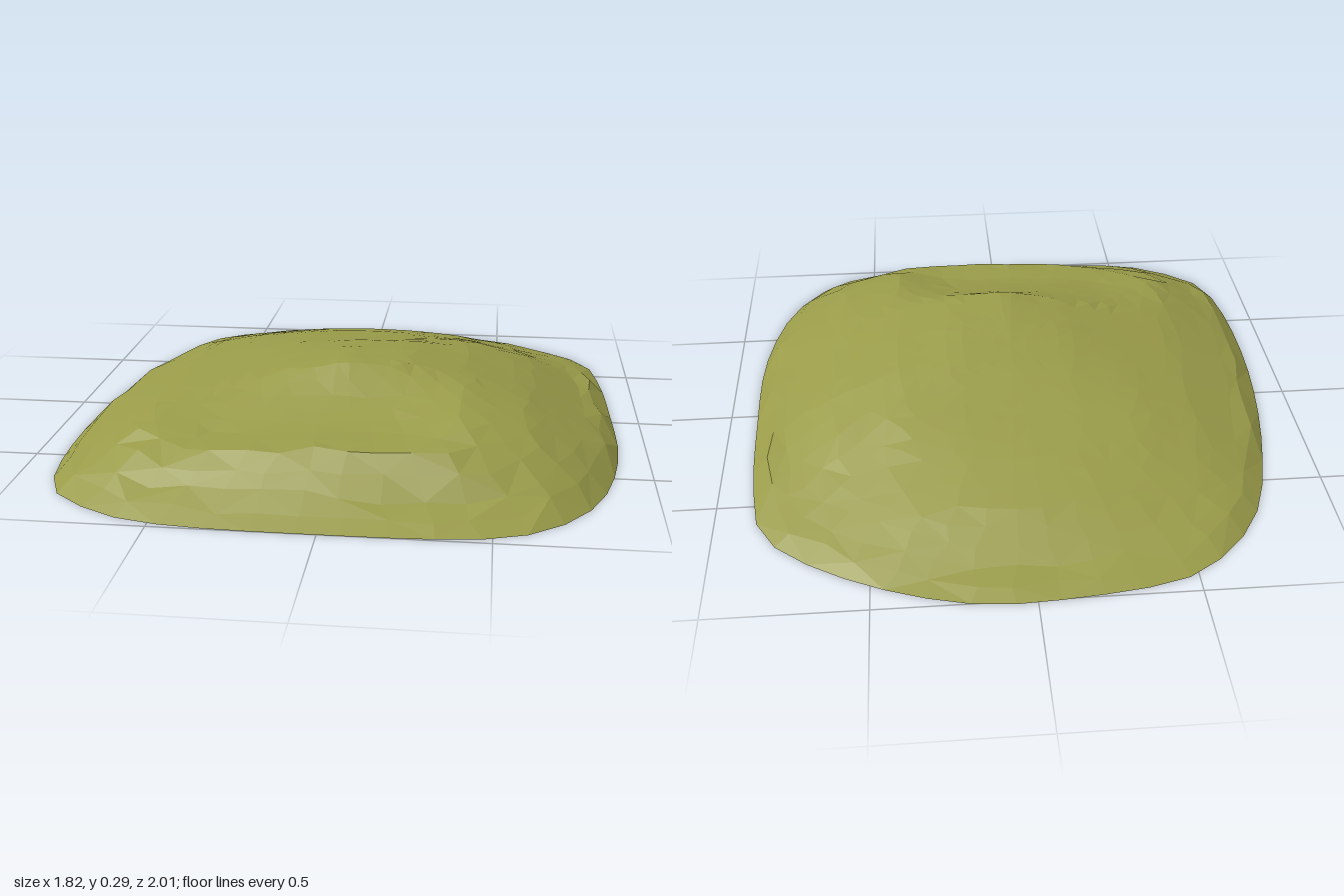
import * as THREE from 'three';

// Ground outline as [x, z], counter-clockwise seen from above
const OUTLINE = [
  [0.2, -1], [-0.13, -1], [-0.47, -0.94], [-0.6, -0.85], [-0.74, -0.67], [-0.85, -0.3],
  [-0.91, 0.2], [-0.89, 0.63], [-0.84, 0.79], [-0.61, 0.95], [-0.4, 0.99], [0, 1],
  [0.37, 0.99], [0.54, 0.96], [0.67, 0.89], [0.81, 0.71], [0.9, 0.36], [0.905, -0.1],
  [0.89, -0.4], [0.84, -0.65], [0.6, -0.85],
];

// Height profiles across the mound: x runs from -0.8 to 0.8 in steps of 0.2
const PROFILES = [
  [-0.9, [0, 0, 0.01, 0.015, 0.015, 0.015, 0.01, 0, 0]],
  [-0.7, [0, 0.05, 0.08, 0.1, 0.105, 0.1, 0.08, 0.04, 0.01]],
  [-0.5, [0.02, 0.09, 0.13, 0.15, 0.155, 0.15, 0.13, 0.09, 0.03]],
  [-0.3, [0.04, 0.12, 0.165, 0.185, 0.19, 0.195, 0.19, 0.14, 0.05]],
  [-0.1, [0.06, 0.14, 0.19, 0.225, 0.24, 0.245, 0.225, 0.17, 0.07]],
  [0.1, [0.075, 0.155, 0.2, 0.25, 0.275, 0.275, 0.24, 0.18, 0.08]],
  [0.3, [0.08, 0.165, 0.21, 0.255, 0.295, 0.285, 0.25, 0.19, 0.085]],
  [0.45, [0.08, 0.165, 0.18, 0.2, 0.21, 0.215, 0.24, 0.185, 0.08]],
  [0.6, [0.06, 0.15, 0.14, 0.155, 0.165, 0.17, 0.215, 0.165, 0.06]],
  [0.75, [0.03, 0.1, 0.13, 0.15, 0.165, 0.16, 0.155, 0.1, 0.03]],
  [0.85, [0, 0.04, 0.06, 0.08, 0.08, 0.06, 0.05, 0.03, 0]],
  [0.95, [0, 0.01, 0.02, 0.02, 0.02, 0.02, 0.02, 0, 0]],
];

const { clamp, lerp } = THREE.MathUtils;

// Bilinear height between neighbouring profiles
function heightAt(x, z) {
  const u = clamp((x + 0.8) / 0.2, 0, 7.999);
  const c = Math.floor(u);
  let r = 0;
  while (r < PROFILES.length - 2 && z > PROFILES[r + 1][0]) r++;
  const [z0, low] = PROFILES[r];
  const [z1, high] = PROFILES[r + 1];
  const t = clamp((z - z0) / (z1 - z0), 0, 1);
  return lerp(lerp(low[c], low[c + 1], u - c), lerp(high[c], high[c + 1], u - c), t);
}

function seeded(seed) {
  return () => {
    seed = (seed * 16807) % 2147483647;
    return seed / 2147483647;
  };
}

// Open shell made of rings shrinking from the outline to the middle
function moundGeometry() {
  const rings = 16, sides = 48;
  const random = seeded(41);
  const curve = new THREE.CatmullRomCurve3(
    OUTLINE.map(([x, z]) => new THREE.Vector3(x, 0, z)), true, 'centripetal');
  const rim = curve.getSpacedPoints(sides).slice(0, sides);
  const positions = [0, heightAt(0, 0), 0];
  const index = [];

  for (let k = 1; k <= rings; k++) {
    const r = k / rings;
    const jitter = k < rings ? 0.035 * r : 0;
    for (const p of rim) {
      const x = p.x * r + (random() - 0.5) * jitter;
      const z = p.z * r + (random() - 0.5) * jitter;
      const y = k === rings ? 0 : Math.min(heightAt(x, z), 0.9 * (1 - r)) + 0.002;
      positions.push(x, y, z);
    }
  }

  for (let i = 0; i < sides; i++) {
    const j = (i + 1) % sides;
    index.push(0, 1 + i, 1 + j);
    for (let k = 0; k < rings - 1; k++) {
      const a = 1 + k * sides, b = a + sides;
      if ((i + k) % 2) index.push(a + i, b + i, b + j, a + i, b + j, a + j);
      else index.push(a + i, b + i, a + j, a + j, b + i, b + j);
    }
  }

  const geometry = new THREE.BufferGeometry();
  geometry.setAttribute('position', new THREE.Float32BufferAttribute(positions, 3));
  geometry.setIndex(index);
  geometry.computeVertexNormals();
  return geometry;
}

export function createModel() {
  const group = new THREE.Group();
  group.name = 'grassyMound';

  const grass = new THREE.MeshStandardMaterial({
    color: 0x999b49, flatShading: true, side: THREE.DoubleSide,
  });
  grass.name = 'olive grass';

  // Hill with a shallow shelf pressed into its front slope
  const mound = new THREE.Mesh(moundGeometry(), grass);
  mound.name = 'mound';
  group.add(mound);
  return group;
}
